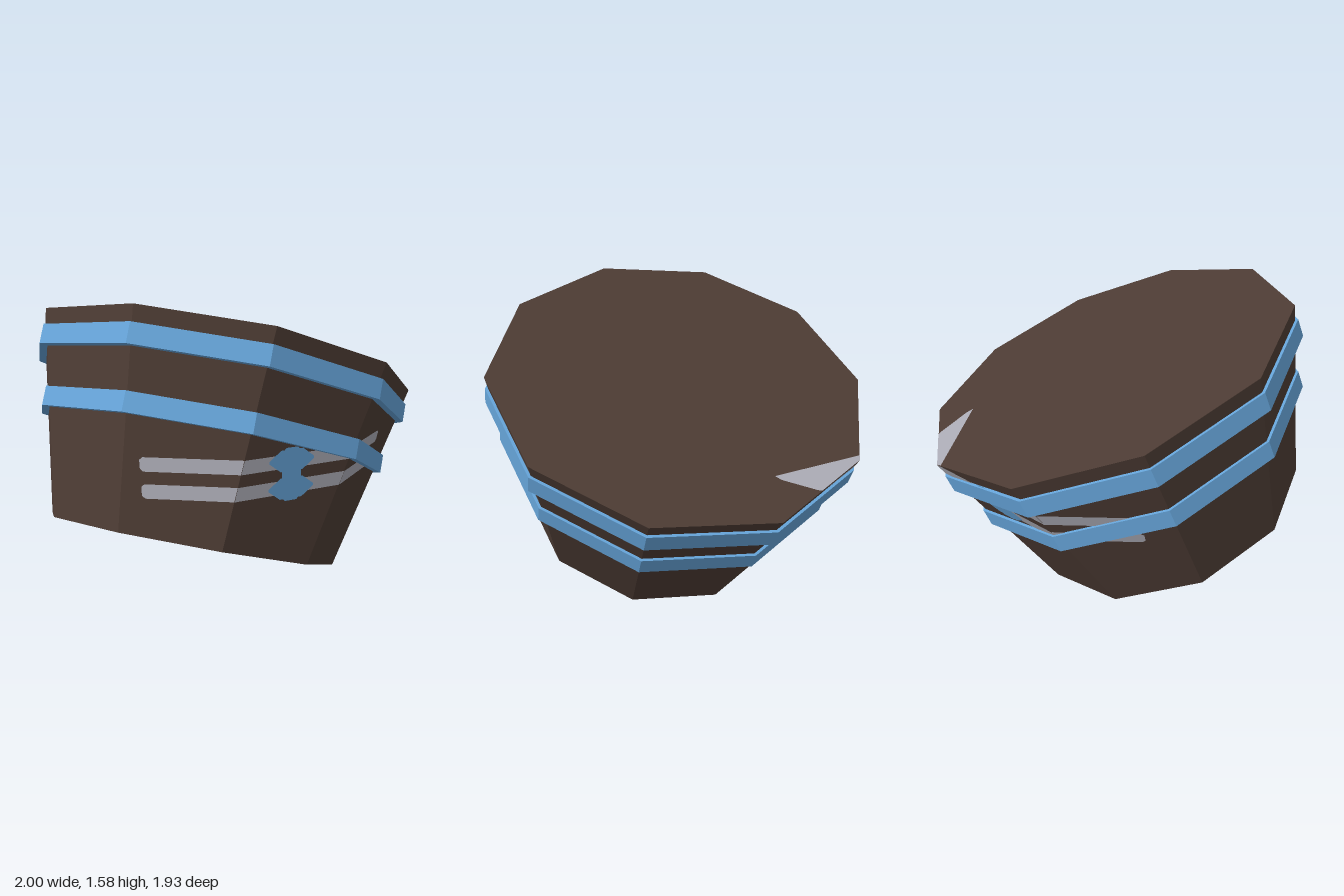
import * as THREE from 'three';

const SIDES = 10, R_TOP = 1.015, R_BOTTOM = 0.768, HEIGHT = 0.985;

const material = (name, color) => {
  const m = new THREE.MeshStandardMaterial({ color, flatShading: true });
  m.name = name;
  return m;
};

// Leaning frame of the tub: origin at the middle of its base, y along its axis
function tiltMatrix() {
  const up = new THREE.Vector3(0.309, 0.927, -0.213).normalize();
  const x = new THREE.Vector3(0.946, -0.325, -0.004);
  x.addScaledVector(up, -x.dot(up)).normalize();
  const z = new THREE.Vector3().crossVectors(x, up);
  return new THREE.Matrix4().makeBasis(x, up, z).setPosition(-0.276, 0.298, 0.195);
}

// Ten-sided prism with a corner on the x axis
function prism(name, rTop, rBottom, y0, y1, mat) {
  const g = new THREE.CylinderGeometry(rTop, rBottom, y1 - y0, SIDES, 1, false, Math.PI / SIDES);
  g.translate(0, (y0 + y1) / 2, 0);
  const mesh = new THREE.Mesh(g, mat);
  mesh.name = name;
  return mesh;
}

const area = (p) => THREE.ShapeUtils.area(p);

// Cuts a 2D polygon down to a convex counter-clockwise window
function clip(subject, win) {
  let out = subject;
  win.forEach((a, i) => {
    const b = win[(i + 1) % win.length];
    const side = (p) => (b.x - a.x) * (p.y - a.y) - (b.y - a.y) * (p.x - a.x);
    const next = [];
    out.forEach((p, j) => {
      const q = out[(j + 1) % out.length], sp = side(p), sq = side(q);
      if (sp >= 0) next.push(p);
      if ((sp >= 0) !== (sq >= 0)) next.push(p.clone().lerp(q, sp / (sp - sq)));
    });
    out = next;
  });
  return out;
}

// Paints convex shapes, drawn in x and y, onto every panel in line with them along z
function paint(name, shapes, panels, offset, mat) {
  const pos = [];
  for (const panel of panels) {
    const n = panel.normal, o = panel.points[0];
    let win = panel.points.map((p) => new THREE.Vector2(p.x, p.y));
    if (area(win) < 0) win.reverse();
    for (const shape of shapes) {
      const poly = clip(shape, win);
      if (poly.length < 3) continue;
      const pts = poly.map((p) => new THREE.Vector3(
        p.x, p.y, o.z - (n.x * (p.x - o.x) + n.y * (p.y - o.y)) / n.z).addScaledVector(n, offset));
      if (n.z < 0) pts.reverse();
      for (let i = 1; i < pts.length - 1; i++)
        for (const p of [pts[0], pts[i], pts[i + 1]]) pos.push(p.x, p.y, p.z);
    }
  }
  const g = new THREE.BufferGeometry();
  g.setAttribute('position', new THREE.Float32BufferAttribute(pos, 3));
  g.computeVertexNormals();
  const mesh = new THREE.Mesh(g, mat);
  mesh.name = name;
  return mesh;
}

// Rectangle with cut corners
function chamfered(cx, cy, w, h, cw, ch = cw) {
  const x = w / 2, y = h / 2;
  return [[x, -y + ch], [x, y - ch], [x - cw, y], [-x + cw, y],
    [-x, y - ch], [-x, -y + ch], [-x + cw, -y], [x - cw, -y]]
    .map(([a, b]) => new THREE.Vector2(cx + a, cy + b));
}

export function createModel() {
  const brown = material('darkWood', 0x4d3c34);
  const blue = material('blueMetal', 0x66a5da);
  const grey = material('greyPaint', 0xacacb6);
  const root = new THREE.Group();
  root.name = 'leaningTub';

  // Tub and its two hoops
  const matrix = tiltMatrix();
  const tub = new THREE.Group();
  tub.name = 'tub';
  tub.applyMatrix4(matrix);
  tub.add(
    prism('tubBody', R_TOP, R_BOTTOM, 0, HEIGHT, brown),
    prism('upperHoop', 1.011, 1.011, HEIGHT - 0.175, HEIGHT - 0.078, blue),
    prism('lowerHoop', 0.938, 0.938, HEIGHT - 0.462, HEIGHT - 0.367, blue));
  root.add(tub);

  // Flat panels of the body: ten sides and the lid
  const corner = (i, r, y) => {
    const a = (i / SIDES) * Math.PI * 2;
    return new THREE.Vector3(Math.cos(a) * r, y, Math.sin(a) * r).applyMatrix4(matrix);
  };
  const centre = new THREE.Vector3(0, HEIGHT / 2, 0).applyMatrix4(matrix);
  const makePanel = (points) => {
    const [a, b, c] = points;
    const normal = b.clone().sub(a).cross(c.clone().sub(a)).normalize();
    if (normal.dot(a.clone().sub(centre)) < 0) normal.negate();
    return { points, normal };
  };
  const panels = [], lid = [];
  for (let i = 0; i < SIDES; i++) {
    lid.push(corner(i, R_TOP, HEIGHT));
    panels.push(makePanel([corner(i, R_BOTTOM, 0), corner(i, R_TOP, HEIGHT),
      corner(i + 1, R_TOP, HEIGHT), corner(i + 1, R_BOTTOM, 0)]));
  }
  panels.push(makePanel(lid));

  // Painted stripes and the blue knot between them
  const cx = -0.105;
  const stripes = [0.897, 0.777].map((y) => chamfered(cx, y, 1.25, 0.064, 0.012));
  const knot = [
    chamfered(cx, 0.902, 0.235, 0.1, 0.06, 0.045),
    chamfered(cx, 0.772, 0.235, 0.1, 0.06, 0.045),
    chamfered(cx, 0.837, 0.1, 0.25, 0.02)];
  root.add(paint('paintedStripes', stripes, panels, 0.003, grey));
  root.add(paint('paintedKnot', knot, panels, 0.006, blue));
  return root;
}
